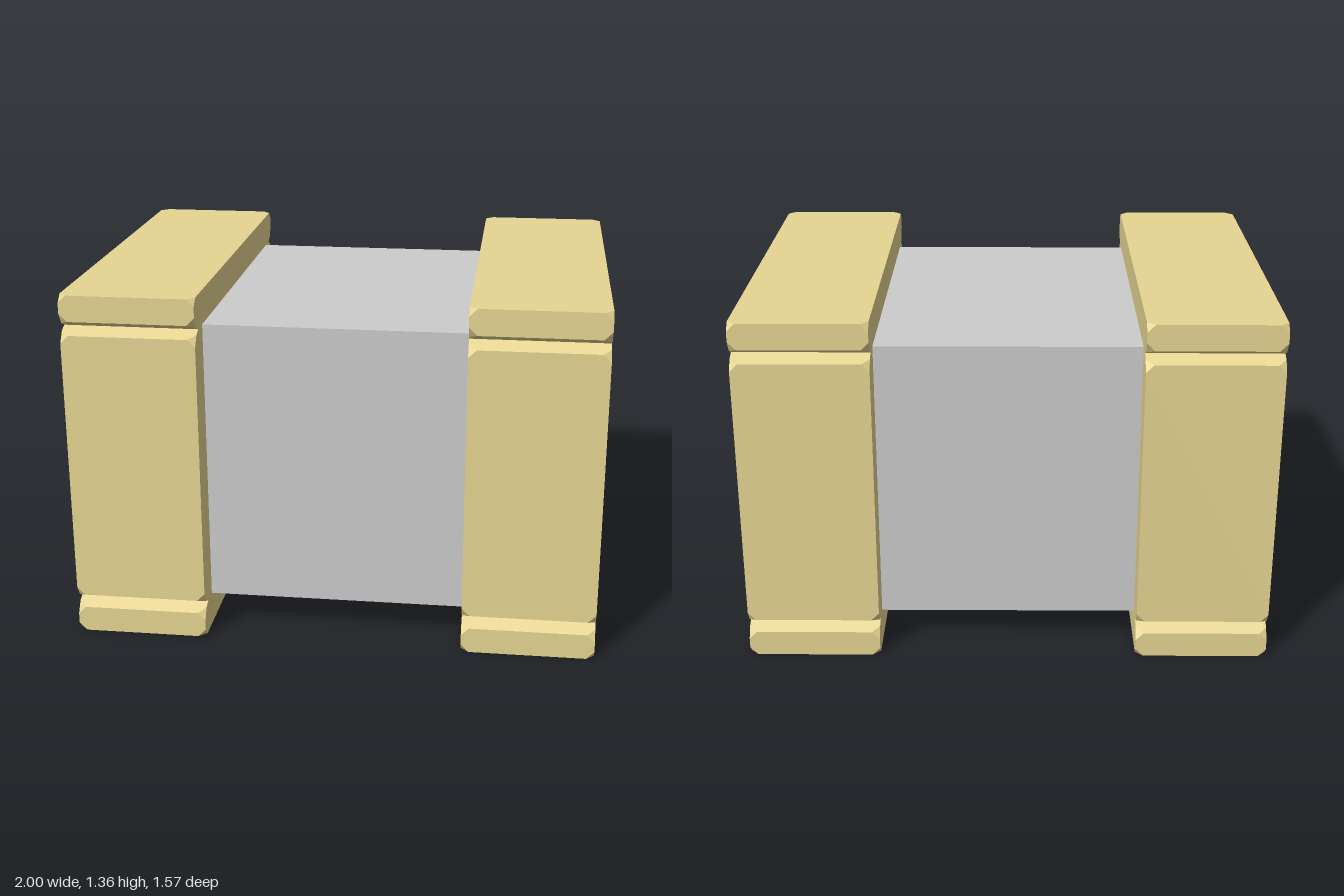
import * as THREE from 'three';
import { ConvexGeometry } from 'three/addons/geometries/ConvexGeometry.js';

const HEIGHT = 1.355, MID = HEIGHT / 2;
const INNER = 0.495, OUTER = 1; // extent of each end frame along x
const CUT = 0.03; // size of the clipped corners

// Convex bar from a (z, y) profile, spanning INNER..OUTER in x.
// Profile points flagged with a third entry get both of their corners clipped.
function clippedBar(profile) {
  const points = [];
  const toward = (a, b) => {
    const dz = b[0] - a[0], dy = b[1] - a[1], k = CUT / Math.hypot(dz, dy);
    return [a[0] + dz * k, a[1] + dy * k];
  };
  profile.forEach((p, i) => {
    const n = profile.length;
    const prev = profile[(i + n - 1) % n], next = profile[(i + 1) % n];
    for (const [x, inward] of [[INNER, 1], [OUTER, -1]]) {
      if (!p[2]) { points.push(new THREE.Vector3(x, p[1], p[0])); continue; }
      points.push(new THREE.Vector3(x + inward * CUT, p[1], p[0]));
      for (const q of [toward(p, prev), toward(p, next)]) {
        points.push(new THREE.Vector3(x, q[1], q[0]));
      }
    }
  });
  return new ConvexGeometry(points);
}

export function createModel() {
  const group = new THREE.Group();
  const frameMat = new THREE.MeshStandardMaterial({ color: 0xe6d592, flatShading: true });
  const coreMat = new THREE.MeshStandardMaterial({ color: 0xcccccc, flatShading: true });

  // Central block, set slightly back inside the two frames
  const core = new THREE.Mesh(new THREE.BoxGeometry(1.9, 1.1, 1.32), coreMat);
  core.name = 'core';
  core.position.y = MID;
  group.add(core);

  // Horizontal plank with bevelled underside ends (heights relative to MID)
  const plankGeo = clippedBar([
    [-0.785, MID, true], [0.785, MID, true], [0.785, 0.578, true],
    [0.725, 0.55], [-0.725, 0.55], [-0.785, 0.578, true],
  ]);
  // Upright post with bevelled outer ends
  const postGeo = clippedBar([
    [0.66, 0.55], [0.725, 0.55], [0.785, 0.525, true],
    [0.785, -0.525, true], [0.725, -0.55], [0.66, -0.55],
  ]);

  // One frame at each end: two planks and two posts
  for (const side of [1, -1]) {
    const frame = new THREE.Group();
    frame.name = side > 0 ? 'leftFrame' : 'rightFrame';
    frame.position.set(side * (INNER + OUTER) / 2, MID, 0);
    const add = (geo, name, rx, ry) => {
      const mesh = new THREE.Mesh(geo, frameMat);
      mesh.name = name;
      mesh.rotation.set(rx, ry, 0);
      // Bars are symmetric about their own centre in x
      const turned = ry !== 0 ? 1 : -1;
      mesh.position.x = turned * (INNER + OUTER) / 2;
      frame.add(mesh);
    };
    add(plankGeo, 'topPlank', 0, 0);
    add(plankGeo, 'bottomPlank', Math.PI, 0);
    add(postGeo, 'frontPost', 0, 0);
    add(postGeo, 'backPost', 0, Math.PI);
    group.add(frame);
  }
  return group;
}
